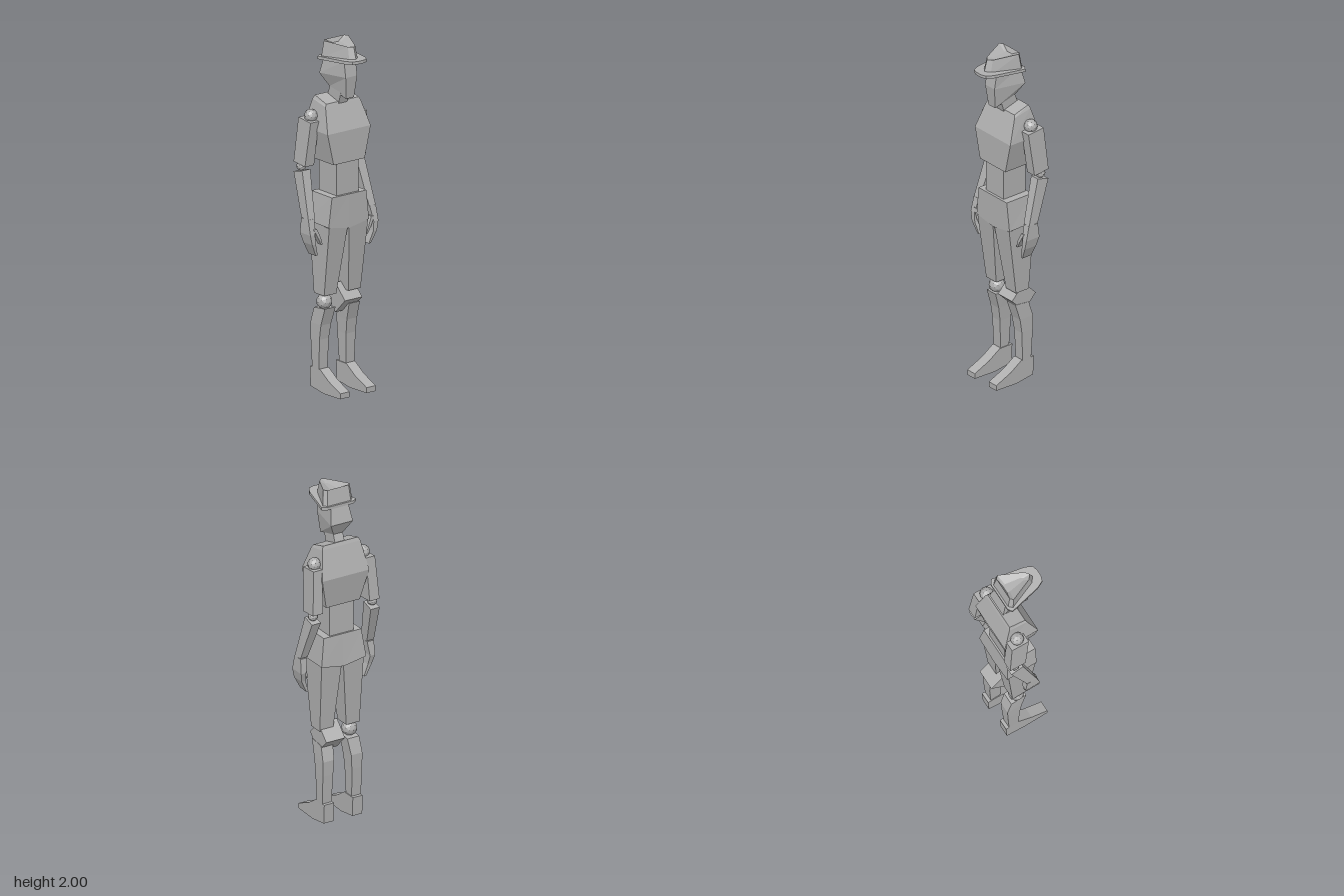
import * as THREE from 'three';

const grey = new THREE.MeshStandardMaterial({ color: 0xb0b0b0 });
grey.name = 'grey';

// Faceted loft through rings of [x, y, z] points, capped at both ends.
// side = -1 mirrors it across z; winding is made outward by signed volume.
function loft(name, rings, side = 1) {
  const tris = [];
  const n = rings[0].length;
  const P = rings.map(r => r.map(([x, y, z]) => new THREE.Vector3(x, y, z * side)));
  for (let i = 0; i + 1 < P.length; i++) {
    for (let j = 0; j < n; j++) {
      const k = (j + 1) % n;
      tris.push([P[i][j], P[i][k], P[i + 1][k]], [P[i][j], P[i + 1][k], P[i + 1][j]]);
    }
  }
  const cap = (ring, flip) => {
    const c = new THREE.Vector3();
    ring.forEach(p => c.addScaledVector(p, 1 / n));
    for (let j = 0; j < n; j++) {
      const k = (j + 1) % n;
      tris.push(flip ? [c, ring[k], ring[j]] : [c, ring[j], ring[k]]);
    }
  };
  cap(P[0], true);
  cap(P[P.length - 1], false);
  let volume = 0;
  const cross = new THREE.Vector3();
  tris.forEach(([a, b, c]) => { volume += a.dot(cross.crossVectors(b, c)); });
  if (volume < 0) tris.forEach(t => t.reverse());
  const geo = new THREE.BufferGeometry().setFromPoints(tris.flat());
  geo.computeVertexNormals();
  return part(name, geo);
}

function part(name, geo) {
  const mesh = new THREE.Mesh(geo, grey);
  mesh.name = name;
  return mesh;
}

// Four-cornered ring; yb is the height at the back (x0), yf at the front (x1)
const quad = (x0, x1, z0, z1, yb, yf = yb) =>
  [[x0, yb, z0], [x0, yb, z1], [x1, yf, z1], [x1, yf, z0]];
// Quad centred on z = 0 with its own half widths at back and front
const trap = (x0, x1, wb, wf, yb, yf = yb) =>
  [[x0, yb, -wb], [x0, yb, wb], [x1, yf, wf], [x1, yf, -wf]];

function ball(name, r, x, y, z) {
  const geo = new THREE.IcosahedronGeometry(r, 1);
  geo.computeVertexNormals();
  const mesh = part(name, geo);
  mesh.position.set(x, y, z);
  return mesh;
}

// Symmetric outline from [x, z] points of one half, height given by a rule
function outline(half, height, scale = 1) {
  const other = half.filter(p => p[1] > 0).reverse();
  return [...half.map(([x, z]) => [x, height(x), z * scale]),
    ...other.map(([x, z]) => [x, height(x), -z * scale])];
}

function makeHat() {
  const hat = new THREE.Group();
  hat.name = 'hat';
  const brim = [[-0.097, 0.085], [-0.08, 0.11], [0.11, 0.07], [0.15, 0.05], [0.16, 0.02]];
  const base = [[-0.088, 0.075], [-0.068, 0.095], [0.1, 0.03], [0.125, 0]];
  const top = [[-0.072, 0.068], [-0.056, 0.084], [0.08, 0.025], [0.1, 0]];
  const dent = [[-0.06, 0.02], [-0.045, 0.025], [0.05, 0.01], [0.06, 0]];
  hat.add(loft('brim', [
    outline(brim, x => 1.893 + 0.04 * (x + 0.1)),
    outline(brim, x => 1.91 + 0.04 * (x + 0.1)),
  ]));
  // Crown with a lengthwise dent
  hat.add(loft('crown', [
    outline(base, () => 1.9),
    outline(top, x => (x > 0.05 ? 1.985 : 2.0)),
    outline(dent, () => 1.975),
  ]));
  return hat;
}

function makeArm(s) {
  const arm = new THREE.Group();
  arm.name = s > 0 ? 'rightArm' : 'leftArm';
  arm.add(
    ball('shoulderJoint', 0.038, -0.08, 1.58, 0.156 * s),
    loft('upperArm', [
      quad(-0.16, -0.06, 0.15, 0.213, 1.31, 1.30),
      quad(-0.138, -0.03, 0.14, 0.197, 1.565, 1.555),
    ], s),
    ball('elbowJoint', 0.028, -0.12, 1.29, 0.19 * s),
    loft('forearm', [
      quad(-0.065, -0.002, 0.19, 0.235, 1.02, 1.01),
      quad(-0.155, -0.08, 0.16, 0.217, 1.255, 1.275),
    ], s),
    loft('hand', [
      quad(-0.055, 0.008, 0.178, 0.192, 0.805),
      quad(-0.06, 0.02, 0.2, 0.225, 0.875),
      quad(-0.075, 0.018, 0.205, 0.237, 0.93),
      quad(-0.065, -0.002, 0.192, 0.235, 1.015),
    ], s),
    loft('thumb', [
      quad(-0.01, 0.018, 0.152, 0.162, 0.865),
      quad(-0.015, 0.021, 0.165, 0.183, 0.905),
      quad(-0.025, 0.015, 0.19, 0.212, 0.96),
    ], s),
  );
  return arm;
}

function makeLeg(s) {
  const leg = new THREE.Group();
  leg.name = s > 0 ? 'rightLeg' : 'leftLeg';
  leg.add(
    loft('thigh', [
      quad(-0.09, 0.0, 0.042, 0.127, 0.56),
      quad(-0.122, 0.055, 0.004, 0.135, 0.97, 0.96),
    ], s),
    loft('shin', [
      quad(-0.11, -0.05, 0.065, 0.123, 0.12),
      quad(-0.12, -0.043, 0.06, 0.126, 0.3),
      quad(-0.122, -0.03, 0.055, 0.126, 0.385),
      quad(-0.095, 0.0, 0.047, 0.122, 0.475, 0.485),
    ], s),
  );
  // Foot profile swept across its width
  const profile = [[-0.13, 0.13], [-0.04, 0.13], [0.035, 0.08], [0.137, 0.035],
    [0.137, 0.004], [-0.01, 0], [-0.125, 0.018]];
  leg.add(loft('foot', [0.06, 0.123].map(z => profile.map(([x, y]) => [x, y, z])), s));

  // One knee is a ball, the other a tilted block
  if (s > 0) {
    leg.add(ball('kneeJoint', 0.045, -0.045, 0.515, 0.09));
  } else {
    const knee = part('kneeBlock', new THREE.BoxGeometry(0.12, 0.12, 0.12));
    knee.position.set(-0.062, 0.515, -0.06);
    knee.rotation.z = Math.PI / 4;
    leg.add(knee);
  }
  return leg;
}

export function createModel() {
  const figure = new THREE.Group();
  figure.name = 'figure';
  figure.add(
    makeHat(),
    loft('head', [
      trap(-0.075, 0.066, 0.03, 0.028, 1.725, 1.685),
      trap(-0.115, 0.08, 0.07, 0.04, 1.8, 1.81),
      trap(-0.09, 0.065, 0.055, 0.04, 1.9),
    ]),
    loft('neck', [
      trap(-0.095, 0.0, 0.03, 0.03, 1.67, 1.63),
      trap(-0.06, 0.03, 0.03, 0.03, 1.76, 1.73),
    ]),
    loft('chest', [
      trap(-0.125, 0.06, 0.108, 0.108, 1.32),
      trap(-0.155, 0.06, 0.15, 0.15, 1.5),
      trap(-0.108, 0.006, 0.122, 0.122, 1.665, 1.64),
      trap(-0.1, 0.0, 0.112, 0.112, 1.685, 1.655),
    ]),
    loft('waist', [
      trap(-0.11, 0.045, 0.076, 0.076, 1.12),
      trap(-0.11, 0.045, 0.076, 0.076, 1.34),
    ]),
    // Pelvis dips at the middle of its lower edge
    loft('pelvis', [
      [[-0.135, 0.97, -0.143], [-0.135, 0.945, 0], [-0.135, 0.97, 0.143],
        [0.057, 0.965, 0.14], [0.057, 0.94, 0], [0.057, 0.965, -0.14]],
      [[-0.12, 1.135, -0.12], [-0.12, 1.135, 0], [-0.12, 1.135, 0.12],
        [0.06, 1.135, 0.12], [0.06, 1.135, 0], [0.06, 1.135, -0.12]],
    ]),
  );
  for (const s of [1, -1]) figure.add(makeArm(s), makeLeg(s));
  return figure;
}
